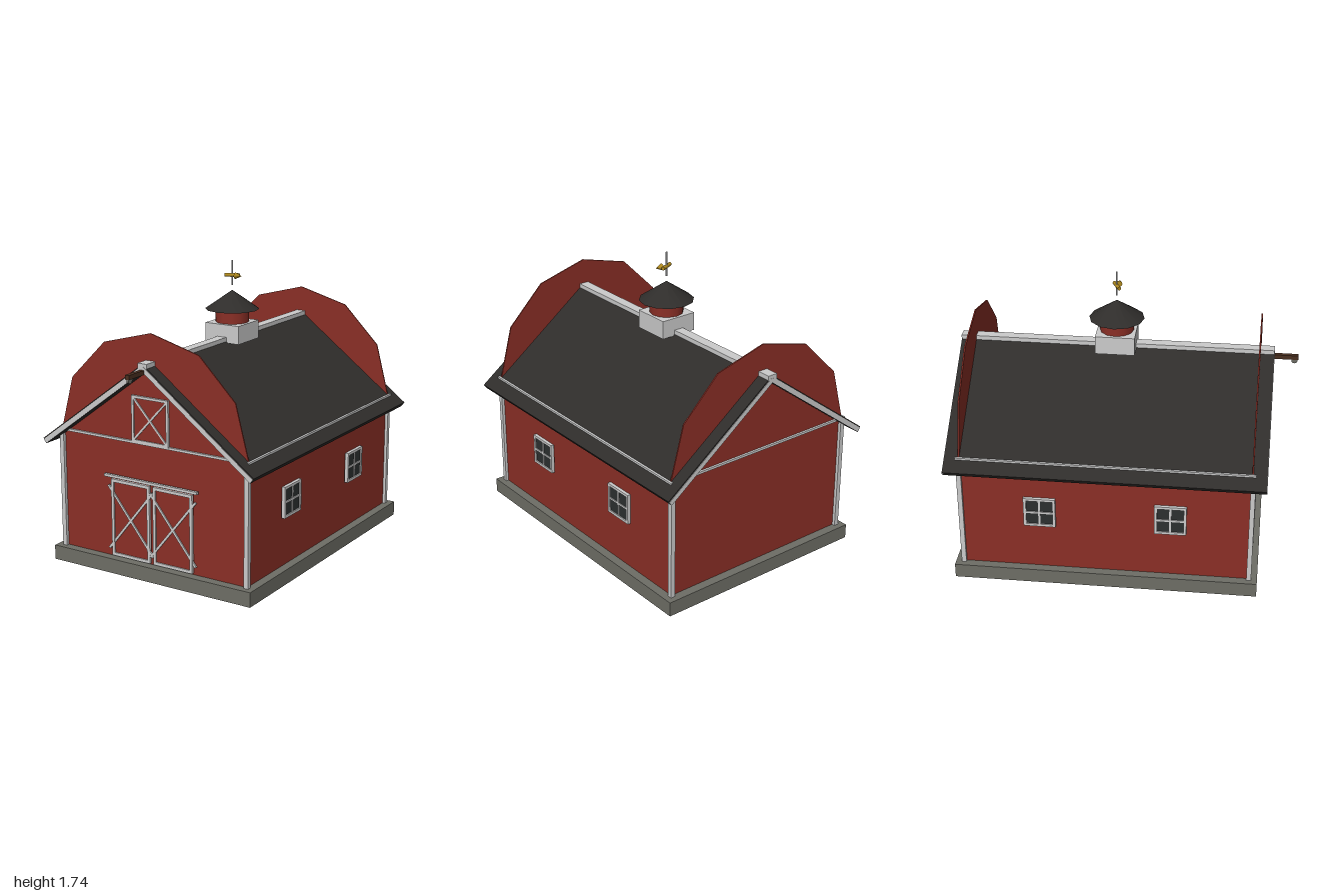
import * as THREE from 'three';

const mat = (color) => new THREE.MeshStandardMaterial({ color });
const RED = mat(0x8b2f26), TRIM = mat(0xcccccc), STONE = mat(0x6e6e66), ROOF = mat(0x2f2d2b);
const GLASS = mat(0x2c3030), WOOD = mat(0x4a3020), GOLD = mat(0xb08a1e);
const CZ = -0.07; // centre of the building along z

function add(parent, name, geometry, material, x = 0, y = 0, z = 0) {
  const mesh = new THREE.Mesh(geometry, material);
  mesh.name = name;
  mesh.position.set(x, y, z);
  parent.add(mesh);
  return mesh;
}
const box = (parent, name, w, h, d, material, x, y, z) =>
  add(parent, name, new THREE.BoxGeometry(w, h, d), material, x, y, z);

function subgroup(parent, name, x, y, z) {
  const g = new THREE.Group();
  g.name = name;
  g.position.set(x, y, z);
  parent.add(g);
  return g;
}

// Rectangular frame of four bars, outer size w by h, facing +z
function frame(g, w, h, t, d, z) {
  for (const s of [-1, 1]) {
    box(g, 'frameSide', t, h, d, TRIM, s * (w - t) / 2, 0, z);
    box(g, 'frameRail', w - 2 * t, t, d, TRIM, 0, s * (h - t) / 2, z);
  }
}

// Two crossed diagonal bars spanning w by h
function cross(g, w, h, t, d, z) {
  for (const s of [-1, 1]) {
    box(g, 'brace', Math.hypot(w, h), t, d, TRIM, 0, 0, z).rotation.z = s * Math.atan2(h, w);
  }
}

function addWindow(parent, side, z) {
  const g = subgroup(parent, 'window', side * 0.632, 0.476, z);
  g.rotation.y = side * Math.PI / 2;
  box(g, 'glass', 0.18, 0.18, 0.03, GLASS, 0, 0, 0);
  frame(g, 0.188, 0.188, 0.016, 0.02, 0.012);
  box(g, 'mullion', 0.012, 0.17, 0.02, TRIM, 0, 0, 0.011);
  box(g, 'crossbar', 0.17, 0.012, 0.02, TRIM, 0, 0, 0.011);
}

export function createModel() {
  const barn = new THREE.Group();
  barn.name = 'barn';

  // Foundation and walls
  box(barn, 'foundation', 1.366, 0.088, 1.8, STONE, 0, 0.044, CZ);
  box(barn, 'walls', 1.26, 0.724, 1.69, RED, 0, 0.448, CZ);

  // Half-round gable panels, six straight edges each
  const arch = new THREE.Shape();
  for (let i = 0; i <= 6; i++) {
    const a = i * Math.PI / 6;
    arch[i ? 'lineTo' : 'moveTo'](0.64 * Math.cos(a), 0.64 * Math.sin(a));
  }
  const archGeometry = new THREE.ExtrudeGeometry(arch, { depth: 0.008, bevelEnabled: false });
  for (const s of [-1, 1]) {
    add(barn, 'gable', archGeometry, RED, 0, 0.81, CZ + s * 0.845 - 0.004);
    box(barn, 'gableTrim', 1.28, 0.014, 0.024, TRIM, 0, 0.81, CZ + s * 0.85);
    box(barn, 'eaveTrim', 0.014, 0.016, 1.73, TRIM, s * 0.645, 0.81, CZ);
    for (const e of [-1, 1]) {
      box(barn, 'cornerPost', 0.028, 0.722, 0.028, TRIM, s * 0.634, 0.449, CZ + e * 0.851);
    }
  }

  // Roof slopes with rake boards on both ends
  const pitch = Math.atan(0.745);
  const span = 0.708 / Math.cos(pitch);
  for (const s of [-1, 1]) {
    const slope = subgroup(barn, 'roofSlope', s * 0.354, 1.006, CZ);
    slope.rotation.z = -s * pitch;
    box(slope, 'roofSlab', span, 0.036, 1.856, ROOF, 0, 0, 0);
    for (const e of [-1, 1]) box(slope, 'rakeBoard', span, 0.028, 0.012, TRIM, 0, -0.003, e * 0.925);
  }
  box(barn, 'ridgeCap', 0.062, 0.03, 1.86, TRIM, 0, 1.28, CZ);

  // Sliding doors hung from a rail
  for (const s of [-1, 1]) {
    const door = subgroup(barn, 'door', s * 0.146, 0.332, 0.78);
    box(door, 'doorPanel', 0.262, 0.465, 0.016, RED, 0, 0, 0);
    frame(door, 0.268, 0.468, 0.018, 0.014, 0.009);
    cross(door, 0.31, 0.385, 0.014, 0.01, 0.01);
  }
  box(barn, 'doorRail', 0.64, 0.016, 0.018, TRIM, 0, 0.586, 0.798);

  // Hayloft hatch
  const hatch = subgroup(barn, 'hayloftHatch', 0, 0.95, 0.784);
  box(hatch, 'hatchPanel', 0.24, 0.26, 0.012, RED, 0, 0, 0);
  frame(hatch, 0.25, 0.272, 0.015, 0.014, 0.006);
  cross(hatch, 0.22, 0.24, 0.011, 0.01, 0.007);

  // Hoist beam and pulley
  box(barn, 'hoistBeam', 0.026, 0.026, 0.24, WOOD, 0, 1.246, 0.88);
  const pulley = add(barn, 'pulley', new THREE.CylinderGeometry(0.018, 0.018, 0.014, 12), STONE, 0, 1.225, 0.978);
  pulley.rotation.z = Math.PI / 2;

  // Side windows
  for (const s of [-1, 1]) for (const z of [0.313, -0.453]) addWindow(barn, s, z);

  // Cupola
  const cupola = subgroup(barn, 'cupola', 0, 0, CZ);
  box(cupola, 'cupolaBase', 0.232, 0.11, 0.232, TRIM, 0, 1.315, 0);
  add(cupola, 'cupolaDrum', new THREE.CylinderGeometry(0.1, 0.1, 0.09, 12), RED, 0, 1.41, 0);
  add(cupola, 'cupolaRoof', new THREE.ConeGeometry(0.163, 0.112, 12), ROOF, 0, 1.504, 0);

  // Weather vane
  add(cupola, 'vaneRod', new THREE.CylinderGeometry(0.005, 0.005, 0.148, 8), TRIM, 0, 1.664, 0);
  const shaft = add(cupola, 'vaneShaft', new THREE.CylinderGeometry(0.011, 0.011, 0.09, 8), GOLD, 0, 1.65, 0);
  shaft.rotation.set(0, 0.45, Math.PI / 2);
  const tip = add(cupola, 'vaneTip', new THREE.ConeGeometry(0.02, 0.045, 8), GOLD, 0.05, 1.65, 0.01);
  tip.rotation.z = -Math.PI / 2;

  return barn;
}
